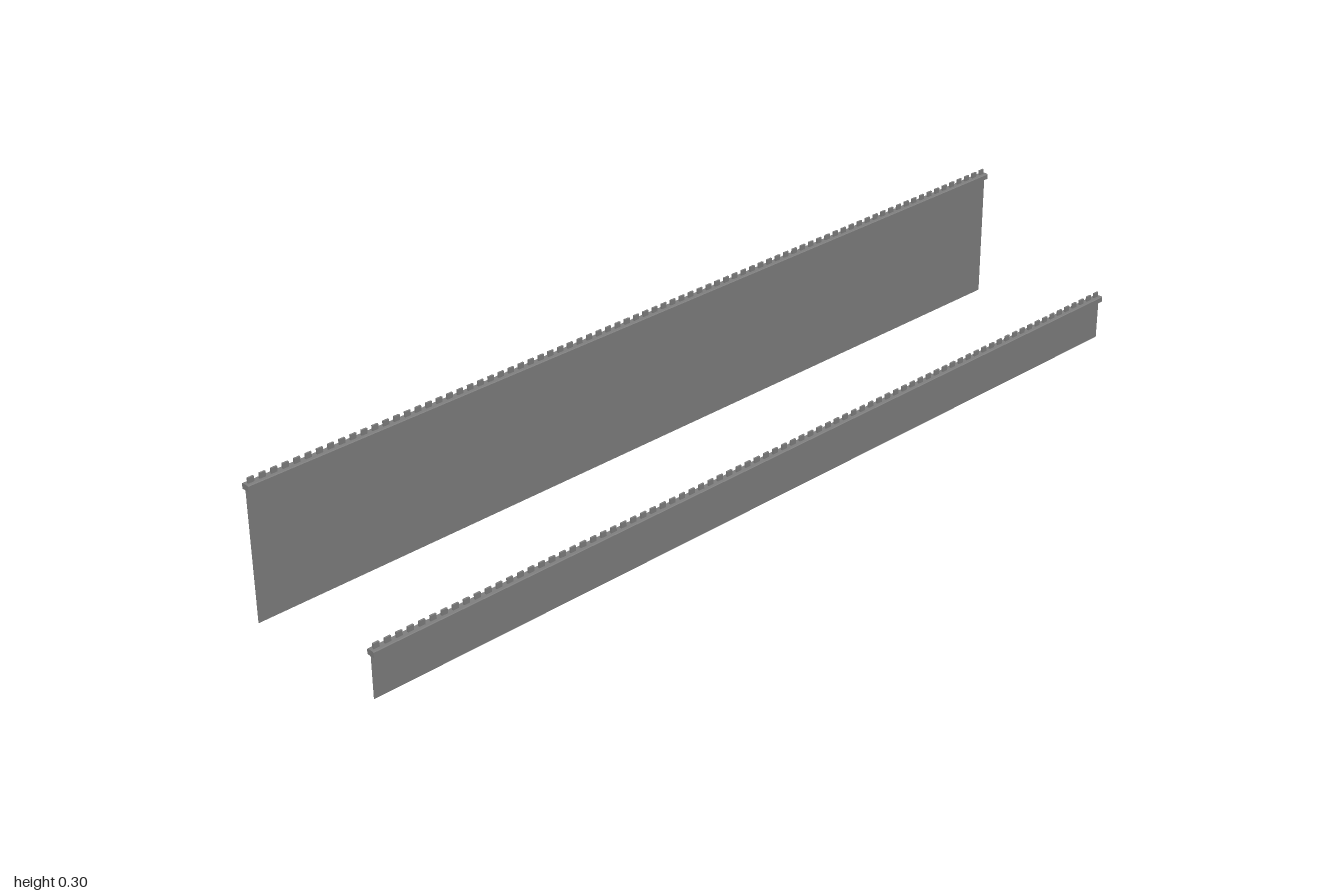
import * as THREE from 'three';

const grey = new THREE.MeshStandardMaterial({ color: 0x808080 });
grey.name = 'grey';
const sheetGrey = new THREE.MeshStandardMaterial({ color: 0x808080, side: THREE.DoubleSide });
sheetGrey.name = 'sheet grey';

const LENGTH = 2, HOOKS = 80;

// One hanging sheet with its rail and the row of small hooks above it
function createCurtain(name, x, railBottom) {
  const curtain = new THREE.Group();
  curtain.name = name;
  curtain.position.x = x;

  // Sheet without thickness, from the floor to the rail
  const sheet = new THREE.Mesh(new THREE.PlaneGeometry(LENGTH, railBottom), sheetGrey);
  sheet.name = 'sheet';
  sheet.rotation.y = Math.PI / 2;
  sheet.position.y = railBottom / 2;
  curtain.add(sheet);

  // Rail with slightly chamfered top edges
  const profile = new THREE.Shape([
    [-0.009, 0], [0.009, 0], [0.009, 0.0105], [0.0075, 0.012], [-0.0075, 0.012], [-0.009, 0.0105],
  ].map(([px, py]) => new THREE.Vector2(px, py)));
  const railGeometry = new THREE.ExtrudeGeometry(profile, { depth: LENGTH, bevelEnabled: false });
  const rail = new THREE.Mesh(railGeometry, grey);
  rail.name = 'rail';
  rail.position.set(0, railBottom, -LENGTH / 2);
  curtain.add(rail);

  // Hooks standing on the rail
  const hookGeometry = new THREE.BoxGeometry(0.004, 0.012, 0.013);
  for (let i = 0; i < HOOKS; i++) {
    const hook = new THREE.Mesh(hookGeometry, grey);
    hook.name = 'hook';
    hook.position.set(0, railBottom + 0.017, -LENGTH / 2 + (i + 0.5) * LENGTH / HOOKS);
    curtain.add(hook);
  }
  return curtain;
}

export function createModel() {
  const model = new THREE.Group();
  model.name = 'curtainPair';
  model.add(createCurtain('tallCurtain', -0.169, 0.277));
  model.add(createCurtain('shortCurtain', 0.169, 0.089));
  return model;
}
